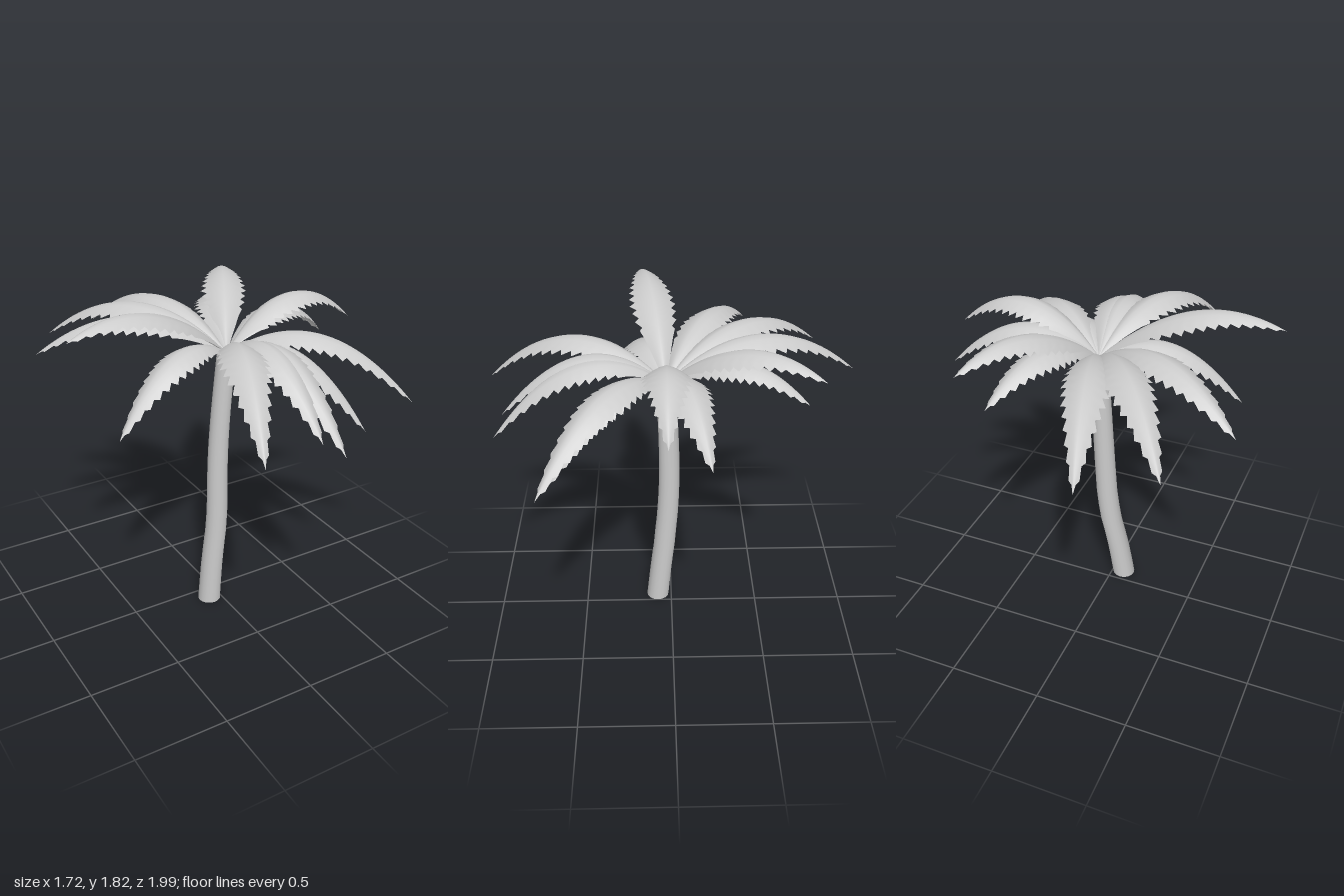
import * as THREE from 'three';

const CROWN = new THREE.Vector3(0.07, 1.48, 0.03);

// Each frond: tip x, y, z and how far its rib arches above the straight line to the tip
const FRONDS = [
  [-0.24, 1.40, -1.00, 0.235],
  [-0.58, 1.43, -0.83, 0.23],
  [-0.80, 1.48, -0.44, 0.205],
  [-0.86, 1.75, 0.16, 0.18],
  [-0.66, 1.24, 0.25, 0.21],
  [-0.31, 1.34, 0.99, 0.255],
  [0.08, 1.31, 0.88, 0.24],
  [0.19, 1.23, 0.92, 0.26],
  [0.55, 1.15, 0.62, 0.22],
  [0.83, 1.26, 0.64, 0.235],
  [0.86, 1.54, 0.03, 0.23],
  [0.82, 1.40, -0.17, 0.21],
  [0.48, 1.67, -0.72, 0.175],
  [0.36, 1.49, -0.67, 0.18],
];

// Linear interpolation through [position, value] pairs
function sample(points, t) {
  for (let i = 1; i < points.length; i++) {
    const [t0, v0] = points[i - 1], [t1, v1] = points[i];
    if (t <= t1) return THREE.MathUtils.lerp(v0, v1, (t - t0) / (t1 - t0));
  }
  return points[points.length - 1][1];
}

const HALF_WIDTH = [[0, 0.005], [0.15, 0.055], [0.3, 0.1], [0.45, 0.115], [0.6, 0.1], [0.8, 0.06], [0.92, 0.028], [1, 0]];

// Arched leaf: folded cross-sections swept along the rib, with saw-toothed edges
function frondGeometry([tx, ty, tz, arch]) {
  const ROWS = 32, COLS = 6;
  const tip = new THREE.Vector3(tx, ty, tz);
  const span = tip.clone().sub(CROWN);
  const run = Math.hypot(span.x, span.z);
  const dir = new THREE.Vector3(span.x / run, 0, span.z / run);
  const side = dir.clone().cross(new THREE.Vector3(0, 1, 0));
  const positions = [], index = [];

  for (let i = 0; i <= ROWS; i++) {
    const t = i / ROWS;
    const toothed = t > 0.22 && t < 0.97;
    const outward = i % 2 === 0;
    for (let j = 0; j <= COLS; j++) {
      const s = (j / COLS) * 2 - 1;
      const edge = Math.abs(s) === 1 && toothed;
      const u = edge && outward ? Math.min(1, t + 0.018) : t;
      const width = sample(HALF_WIDTH, t) * (edge ? (outward ? 1.1 : 0.84) : 1);
      const slope = (span.y + 4 * arch * (1 - 2 * u)) / run;
      const normal = dir.clone().multiplyScalar(-slope).setY(1).normalize();
      const p = CROWN.clone().addScaledVector(span, u);
      p.y += 4 * arch * u * (1 - u);
      p.addScaledVector(side, s * width);
      p.addScaledVector(normal, -0.5 * width * Math.abs(s) ** 1.5);
      positions.push(p.x, p.y, p.z);
      if (i < ROWS && j < COLS) {
        const a = i * (COLS + 1) + j, b = a + COLS + 1;
        index.push(a, a + 1, b, a + 1, b + 1, b);
      }
    }
  }
  const geometry = new THREE.BufferGeometry();
  geometry.setAttribute('position', new THREE.Float32BufferAttribute(positions, 3));
  geometry.setIndex(index);
  geometry.computeVertexNormals();
  return geometry;
}

// Trunk: tapered cylinder whose rings follow a leaning curve
function trunkGeometry() {
  const height = 1.48;
  const lean = new THREE.CatmullRomCurve3([
    [-0.065, 0, 0.08], [-0.035, 0.22, 0.06], [0.012, 0.5, 0.034], [0.028, 0.8, 0.014],
    [0.038, 1.0, 0.012], [0.052, 1.22, 0.018], [0.07, height, 0.03],
  ].map((p) => new THREE.Vector3(...p)));
  const centres = lean.getPoints(90);
  const geometry = new THREE.CylinderGeometry(0.051, 0.064, height, 16, 14);
  geometry.translate(0, height / 2, 0);
  const pos = geometry.attributes.position;
  for (let i = 0; i < pos.count; i++) {
    const y = pos.getY(i);
    const c = centres.reduce((a, b) => (Math.abs(b.y - y) < Math.abs(a.y - y) ? b : a));
    pos.setX(i, pos.getX(i) + c.x);
    pos.setZ(i, pos.getZ(i) + c.z);
  }
  return geometry;
}

export function createModel() {
  const model = new THREE.Group();
  model.name = 'palmTree';

  const trunk = new THREE.Mesh(trunkGeometry(), new THREE.MeshStandardMaterial({ color: 0xcccccc }));
  trunk.name = 'trunk';
  model.add(trunk);

  // Crown of leaves
  const crown = new THREE.Group();
  crown.name = 'crown';
  const leaf = new THREE.MeshStandardMaterial({ color: 0xcccccc, side: THREE.DoubleSide });
  FRONDS.forEach((frond, i) => {
    const mesh = new THREE.Mesh(frondGeometry(frond), leaf);
    mesh.name = `frond${i + 1}`;
    crown.add(mesh);
  });
  model.add(crown);
  return model;
}
